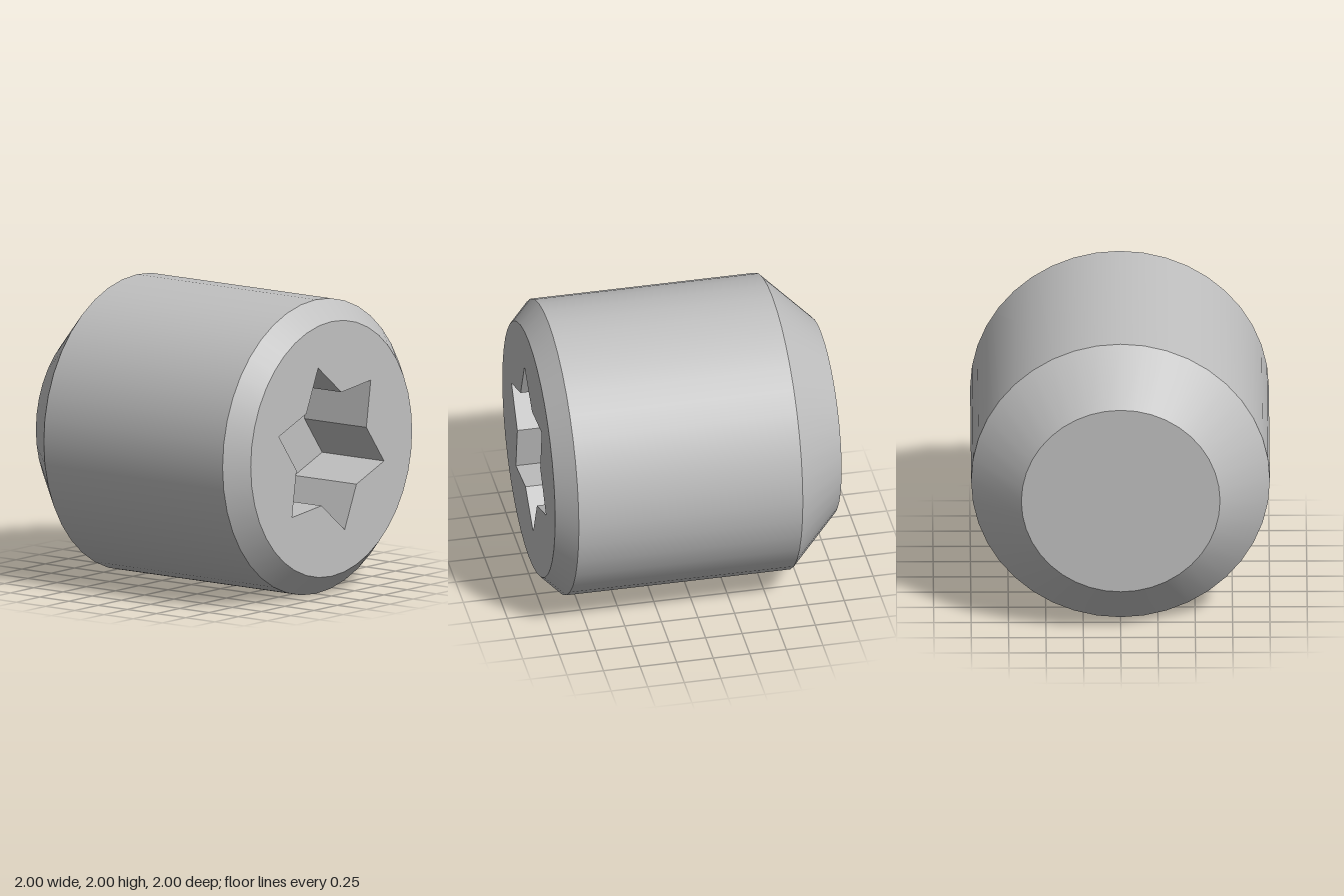
import * as THREE from 'three';

const SIDES = 40;
const FLOOR_Z = 0.47;

// Points of a closed ring; radii alternate when two are given
function ring(count, radii, startAngle) {
  return Array.from({ length: count }, (_, i) => {
    const a = startAngle + (i / count) * Math.PI * 2;
    const r = radii[i % radii.length];
    return new THREE.Vector2(Math.cos(a) * r, Math.sin(a) * r);
  });
}

export function createModel() {
  const group = new THREE.Group();
  const steel = new THREE.MeshStandardMaterial({ color: 0xc0c0c0 });
  steel.name = 'steel grey';

  function add(name, geometry) {
    const mesh = new THREE.Mesh(geometry, steel);
    mesh.name = name;
    mesh.position.y = 1;
    group.add(mesh);
  }

  // Open bands along z: back chamfer, barrel, front chamfer
  function band(name, zBack, rBack, zFront, rFront) {
    const g = new THREE.CylinderGeometry(rFront, rBack, zFront - zBack, SIDES, 1, true);
    g.rotateX(Math.PI / 2);
    g.translate(0, 0, (zFront + zBack) / 2);
    add(name, g);
  }
  band('backChamfer', -1, 0.665, -0.665, 1);
  band('barrel', -0.665, 1, 0.866, 1);
  band('frontChamfer', 0.866, 1, 1, 0.866);

  // Flat back end
  const back = new THREE.CircleGeometry(0.665, SIDES);
  back.rotateY(Math.PI);
  back.translate(0, 0, -1);
  add('backFace', back);

  // Front end with a six-pointed star opening
  const star = ring(12, [0.587, 0.386], THREE.MathUtils.degToRad(44));
  const face = new THREE.Shape(ring(SIDES, [0.866], 0));
  face.holes.push(new THREE.Path(star.slice().reverse()));
  const front = new THREE.ShapeGeometry(face);
  front.translate(0, 0, 1);
  add('frontFace', front);

  // Floor of the drive socket
  const floor = new THREE.ShapeGeometry(new THREE.Shape(star));
  floor.translate(0, 0, FLOOR_Z);
  add('socketFloor', floor);

  // Inward-facing walls of the drive socket
  const walls = [];
  star.forEach((a, i) => {
    const b = star[(i + 1) % star.length];
    walls.push(a.x, a.y, 1, b.x, b.y, 1, b.x, b.y, FLOOR_Z);
    walls.push(a.x, a.y, 1, b.x, b.y, FLOOR_Z, a.x, a.y, FLOOR_Z);
  });
  const wallGeometry = new THREE.BufferGeometry();
  wallGeometry.setAttribute('position', new THREE.Float32BufferAttribute(walls, 3));
  wallGeometry.computeVertexNormals();
  add('socketWalls', wallGeometry);

  return group;
}
